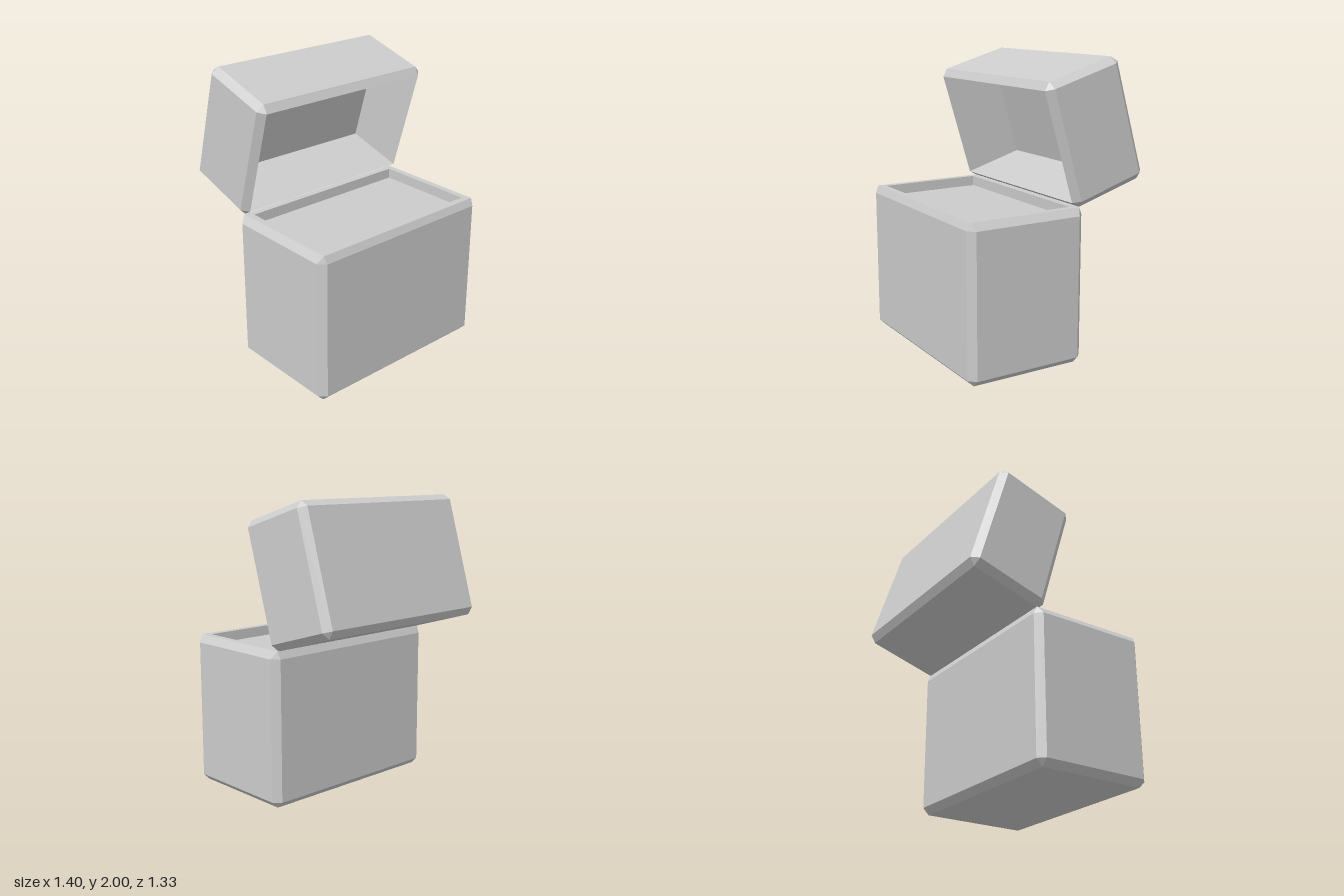
import * as THREE from 'three';

const material = new THREE.MeshStandardMaterial({ color: 0xcccccc, flatShading: true });

// Rectangle with cut corners at height y, counterclockwise seen from above.
function ring([y, hx, hz, cut]) {
  const x = hx - cut, z = hz - cut;
  return [
    [hx, z], [hx, -z], [x, -hz], [-x, -hz],
    [-hx, -z], [-hx, z], [-x, hz], [x, hz],
  ].map(([px, pz]) => new THREE.Vector3(px, y, pz));
}

// Skin a stack of rings [y, halfX, halfZ, cornerCut]; first and last are capped.
function loft(sections) {
  const rings = sections.map(ring);
  const positions = [];
  const tri = (a, b, c) => {
    const area = b.clone().sub(a).cross(c.clone().sub(a)).length();
    if (area > 1e-7) for (const p of [a, b, c]) positions.push(p.x, p.y, p.z);
  };
  for (let r = 0; r < rings.length - 1; r++) {
    for (let i = 0; i < 8; i++) {
      const j = (i + 1) % 8, lo = rings[r], hi = rings[r + 1];
      tri(lo[i], lo[j], hi[j]);
      tri(lo[i], hi[j], hi[i]);
    }
  }
  const first = rings[0], last = rings[rings.length - 1];
  for (let i = 1; i < 7; i++) {
    tri(first[0], first[i + 1], first[i]);
    tri(last[0], last[i], last[i + 1]);
  }
  const geometry = new THREE.BufferGeometry();
  geometry.setAttribute('position', new THREE.Float32BufferAttribute(positions, 3));
  geometry.computeVertexNormals();
  return geometry;
}

export function createModel() {
  const group = new THREE.Group();
  const c = 0.045; // bevel

  // Base: bevelled block with a narrow rim round a shallow recess
  const base = new THREE.Mesh(loft([
    [0, 0.702 - c, 0.425 - c, 0],
    [c, 0.702, 0.425, c],
    [1.0, 0.702, 0.425, c],
    [1.05, 0.665, 0.403, 0],
    [1.05, 0.62, 0.356, 0],
    [0.98, 0.62, 0.356, 0],
  ]), material);
  base.name = 'base';
  base.position.z = 0.24;

  // Lid: hollow bevelled box, modelled opening upward and then tipped back
  const depth = 0.578, hz = 0.4225;
  const lid = new THREE.Mesh(loft([
    [0, 0.702 - c, hz - c, 0],
    [c, 0.702, hz, c],
    [depth - c, 0.702, hz, c],
    [depth, 0.702 - c, hz - c, 0],
    [depth - 0.44, 0.702 - c, hz - c, 0],
  ]), material);
  lid.name = 'lid';
  lid.position.set(0, 1.609, -0.555);
  lid.rotation.x = THREE.MathUtils.degToRad(106.7);

  group.add(base, lid);
  return group;
}
